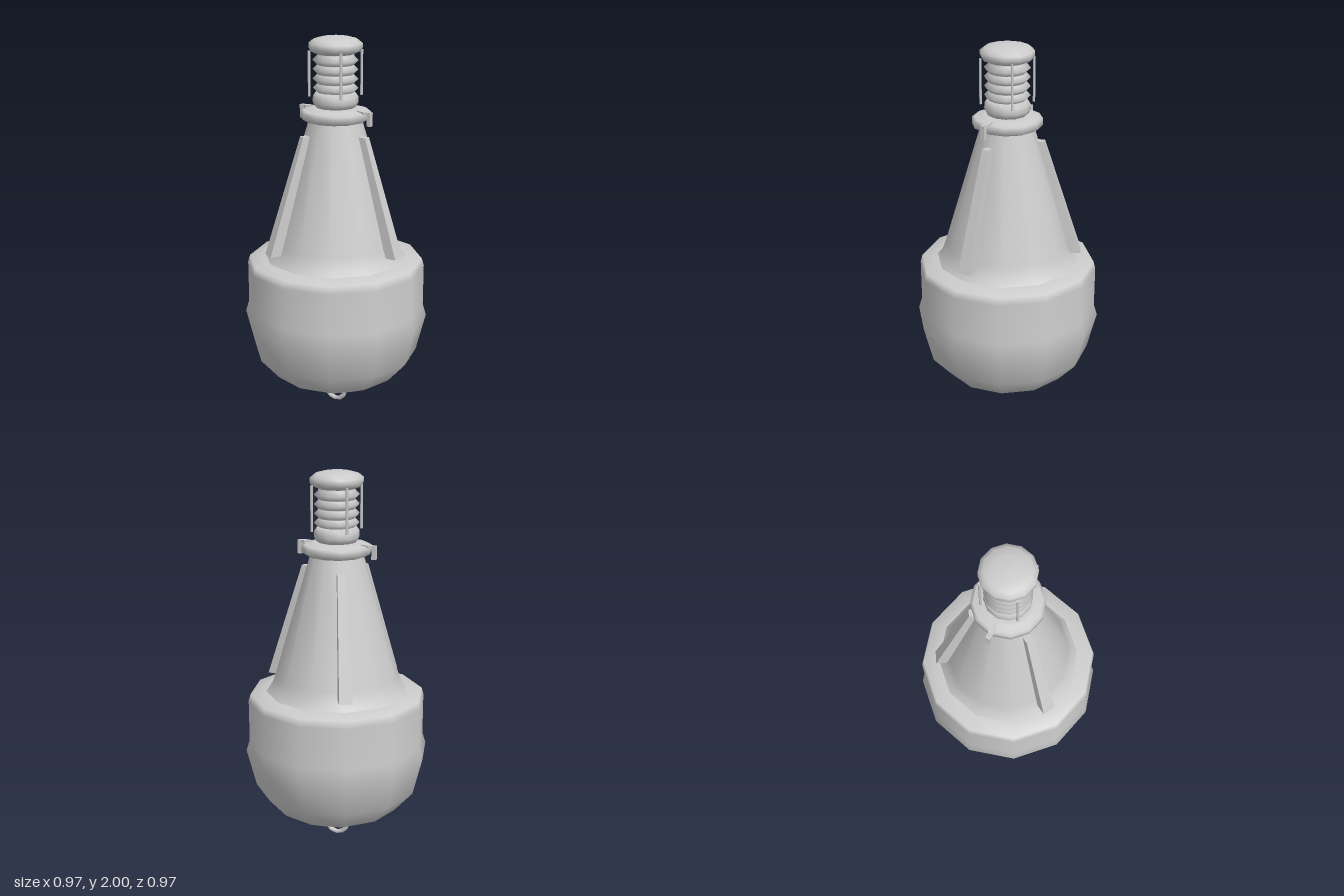
import * as THREE from 'three';

const material = new THREE.MeshStandardMaterial({ color: 0xcccccc });
const flat = new THREE.MeshStandardMaterial({ color: 0xcccccc, flatShading: true });

function add(parent, name, geometry, mat = material) {
  const mesh = new THREE.Mesh(geometry, mat);
  mesh.name = name;
  parent.add(mesh);
  return mesh;
}

// Twelve-sided turned part from [radius, height] pairs, bottom to top
function turned(profile) {
  return new THREE.LatheGeometry(profile.map(([r, y]) => new THREE.Vector2(r, y)), 12);
}

// Unit box whose corners are placed by a rule
function shapedBox(rule) {
  const g = new THREE.BoxGeometry(2, 2, 2);
  const p = g.attributes.position;
  for (let i = 0; i < p.count; i++) {
    p.setXYZ(i, ...rule(p.getX(i), p.getY(i), p.getZ(i)));
  }
  g.computeVertexNormals();
  return g;
}

export function createModel() {
  const buoy = new THREE.Group();
  buoy.name = 'buoy';

  // Rounded float with a flat shoulder
  add(buoy, 'float', turned([
    [0, 0.12], [0.19, 0.13], [0.335, 0.205], [0.436, 0.32], [0.486, 0.52],
    [0.468, 0.58], [0.468, 0.8], [0.457, 0.838], [0.37, 0.852], [0.3, 0.86],
  ]));

  // Tapered tower with a flared foot
  add(buoy, 'tower', turned([
    [0.375, 0.85], [0.345, 0.885], [0.325, 0.94], [0.143, 1.555], [0.135, 1.59],
  ]));

  // Collar around the tower top
  add(buoy, 'collar', turned([
    [0.13, 1.568], [0.155, 1.575], [0.18, 1.59], [0.18, 1.622], [0.165, 1.629], [0.135, 1.632], [0.12, 1.642], [0, 1.643],
  ]));

  // Three ribs leaning on the tower, wider at the bottom
  for (let i = 0; i < 3; i++) {
    const fin = add(buoy, 'towerFin', shapedBox((x, y, z) => y > 0
      ? [x > 0 ? 0.19 : 0.145, 1.505, z * 0.019]
      : [x > 0 ? 0.387 : 0.315, 0.9, z * 0.034]), flat);
    fin.rotation.y = i * Math.PI * 2 / 3;
  }

  // Side lugs on the collar: tapered arm and hanging block
  for (const side of [0, Math.PI]) {
    const lug = new THREE.Group();
    lug.name = 'collarLug';
    lug.rotation.y = side;
    add(lug, 'lugArmInner', shapedBox((x, y, z) =>
      [x > 0 ? 0.175 : 0.13, 1.628 + y * 0.008, z * (x > 0 ? 0.017 : 0.004)]), flat);
    add(lug, 'lugArmOuter', shapedBox((x, y, z) =>
      [x > 0 ? 0.196 : 0.175, 1.628 + y * 0.008, z * (x > 0 ? 0.009 : 0.017)]), flat);
    add(lug, 'lugBlock', new THREE.BoxGeometry(0.022, 0.07, 0.024), flat)
      .position.set(0.204, 1.6, 0);
    buoy.add(lug);
  }

  // Lantern base, ribbed lens and domed cap
  const lantern = new THREE.Group();
  lantern.name = 'lantern';
  buoy.add(lantern);
  add(lantern, 'lanternBase', turned([
    [0.09, 1.635], [0.108, 1.65], [0.117, 1.67], [0.115, 1.7], [0.1, 1.72], [0, 1.722],
  ]));
  const lens = [[0.09, 1.71]];
  for (let i = 0; i < 4; i++) {
    const y = 1.74 + i * 0.047;
    lens.push([0.094, y - 0.022], [0.116, y], [0.094, y + 0.022]);
  }
  lens.push([0.094, 1.925]);
  add(lantern, 'lens', turned(lens));
  add(lantern, 'lanternCap', turned([
    [0, 1.91], [0.09, 1.91], [0.125, 1.924], [0.136, 1.942], [0.136, 1.966],
    [0.112, 1.985], [0.065, 1.997], [0, 2],
  ]));

  // Four guard rods on the diagonals
  for (let i = 0; i < 4; i++) {
    const a = Math.PI / 4 + i * Math.PI / 2;
    add(lantern, 'guardRod', new THREE.CylinderGeometry(0.007, 0.007, 0.23, 6))
      .position.set(0.135 * Math.cos(a), 1.815, 0.135 * Math.sin(a));
  }

  // Mooring ring beneath the float
  add(buoy, 'mooringRing', new THREE.TorusGeometry(0.063, 0.012, 8, 12)).position.y = 0.076;

  return buoy;
}
